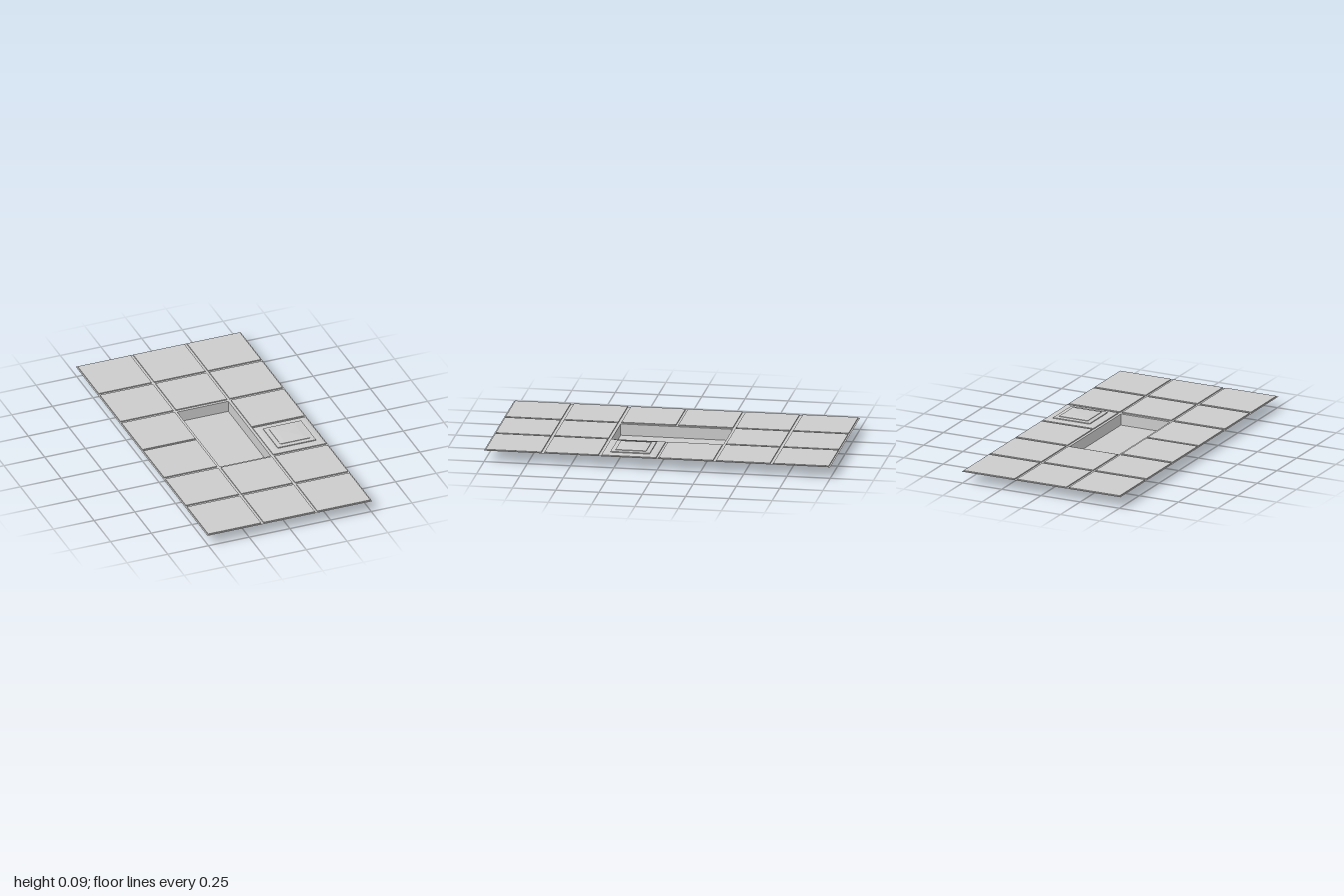
import * as THREE from 'three';

const material = new THREE.MeshStandardMaterial({ color: 0xcccccc, flatShading: true, side: THREE.DoubleSide });
const GROOVE_Y = 0.067;
const TILE_Y = 0.073;

// Rectangular shell swept from a profile of [fraction of half-width, y]
function rectShell(name, profile, [x0, x1], [z0, z1]) {
  const points = profile.map(([r, y]) => new THREE.Vector2(r * Math.SQRT2, y));
  const geometry = new THREE.LatheGeometry(points, 4, Math.PI / 4);
  geometry.scale((x1 - x0) / 2, 1, (z1 - z0) / 2);
  const mesh = new THREE.Mesh(geometry, material);
  mesh.name = name;
  mesh.position.set((x0 + x1) / 2, 0, (z0 + z1) / 2);
  return mesh;
}

function rectPath([x0, x1], [z0, z1], path) {
  path.moveTo(x0, z0);
  path.lineTo(x1, z0);
  path.lineTo(x1, z1);
  path.lineTo(x0, z1);
  path.closePath();
  return path;
}

export function createModel() {
  const model = new THREE.Group();
  model.name = 'tiledFloor';

  const columns = [[-0.498, -0.173], [-0.157, 0.157], [0.173, 0.498]];
  const halfRows = [[0.007, 0.322], [0.34, 0.652], [0.67, 0.991]];
  const rows = [...halfRows.map(([a, b]) => [-b, -a]).reverse(), ...halfRows];
  const pitX = [-0.157, 0.157];
  const pitZ = [-0.323, 0.323];

  const tileProfile = [[1, GROOVE_Y], [1, TILE_Y], [0, TILE_Y]];
  // Stepped, shallow pyramid ornament
  const ornateProfile = [
    [1, GROOVE_Y], [1, TILE_Y], [0.87, 0.077], [0.72, 0.078], [0.72, 0.083],
    [0.56, 0.085], [0.56, 0.088], [0.38, 0.091], [0, 0.093],
  ];

  // Groove level sheet with openings under every tile and the pit
  const sheet = rectPath([-0.506, 0.506], [-1, 1], new THREE.Shape());
  sheet.holes.push(rectPath(pitX, pitZ, new THREE.Path()));

  const tiles = new THREE.Group();
  tiles.name = 'tiles';
  columns.forEach((cx, i) => rows.forEach((rz, j) => {
    if (i === 1 && (j === 2 || j === 3)) return;
    sheet.holes.push(rectPath(cx, rz, new THREE.Path()));
    const ornate = i === 2 && j === 3;
    tiles.add(rectShell(ornate ? 'ornateTile' : 'tile', ornate ? ornateProfile : tileProfile, cx, rz));
  }));
  model.add(tiles);

  const grooves = new THREE.Mesh(new THREE.ShapeGeometry(sheet).rotateX(-Math.PI / 2), material);
  grooves.name = 'grooves';
  grooves.position.y = GROOVE_Y;
  model.add(grooves);

  // Sunken pit, open at the top
  model.add(rectShell('pit', [[1, GROOVE_Y], [1, 0], [0, 0]], pitX, pitZ));

  return model;
}
